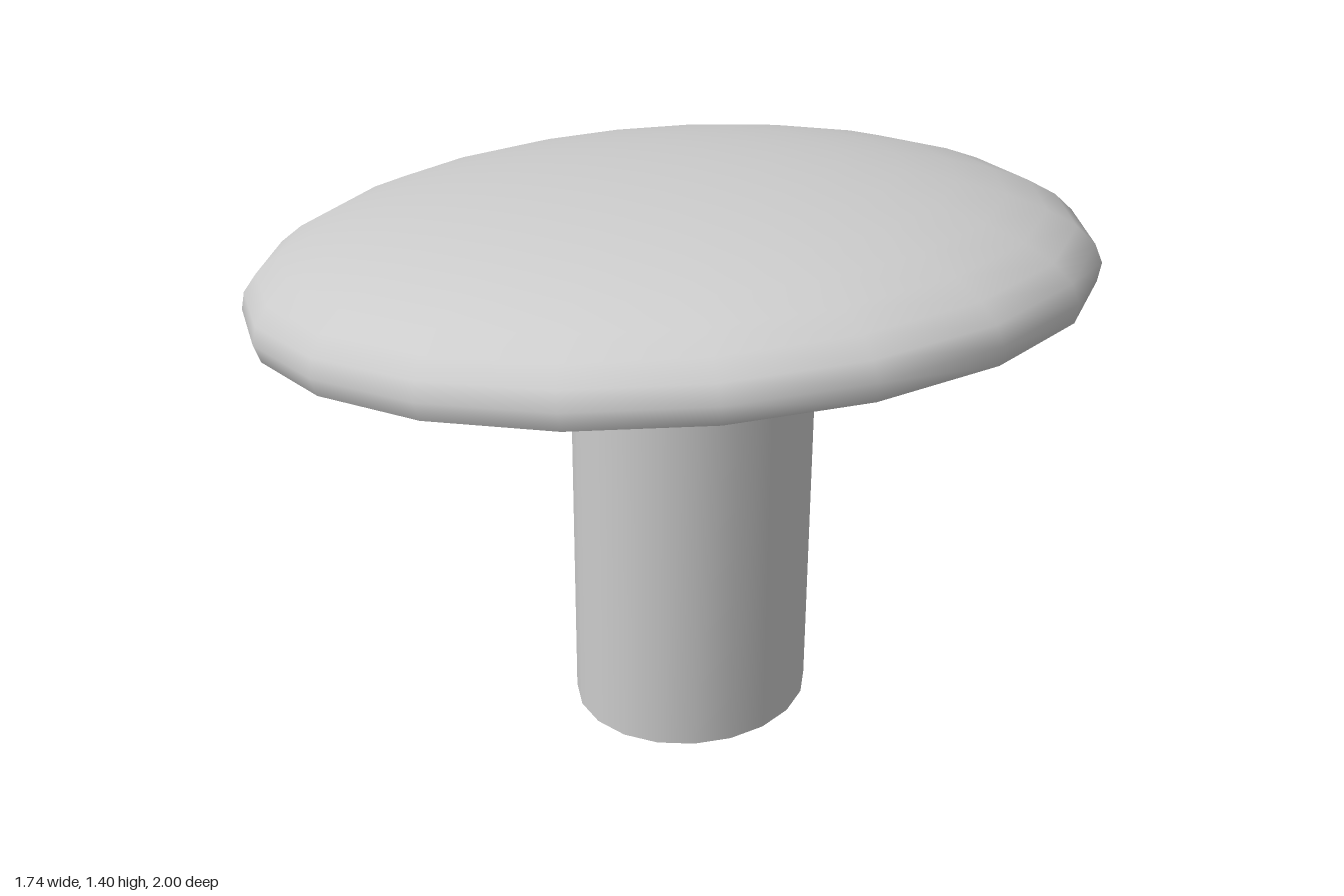
import * as THREE from 'three';

const SIDES = 20;

export function createModel() {
  const model = new THREE.Group();
  const material = new THREE.MeshStandardMaterial({ color: 0xcccccc });
  const add = (parent, name, geometry) => {
    const mesh = new THREE.Mesh(geometry, material);
    mesh.name = name;
    parent.add(mesh);
    return mesh;
  };

  // Oval stem, slightly off centre, running up into the cap
  const stem = add(model, 'stem', new THREE.CylinderGeometry(1, 1, 1.15, SIDES).scale(0.288, 1, 0.263));
  stem.position.set(0.09, 0.575, 0.032);

  // Tilted cap: a flattened dome cut just below its widest ring
  const cap = new THREE.Group();
  cap.name = 'cap';
  cap.position.set(0, 1.102, 0);
  cap.rotation.x = THREE.MathUtils.degToRad(-9.9);
  model.add(cap);

  const [rx, ry, rz] = [0.868, 0.25, 1.014];
  const cut = THREE.MathUtils.degToRad(99);
  add(cap, 'dome', new THREE.SphereGeometry(1, SIDES, 11, 0, Math.PI * 2, 0, cut).scale(rx, ry, rz));

  // Flat underside closing the dome
  const underside = new THREE.CircleGeometry(Math.sin(cut), SIDES).rotateX(Math.PI / 2);
  underside.translate(0, Math.cos(cut), 0).scale(rx, ry, rz);
  add(cap, 'underside', underside);

  return model;
}
